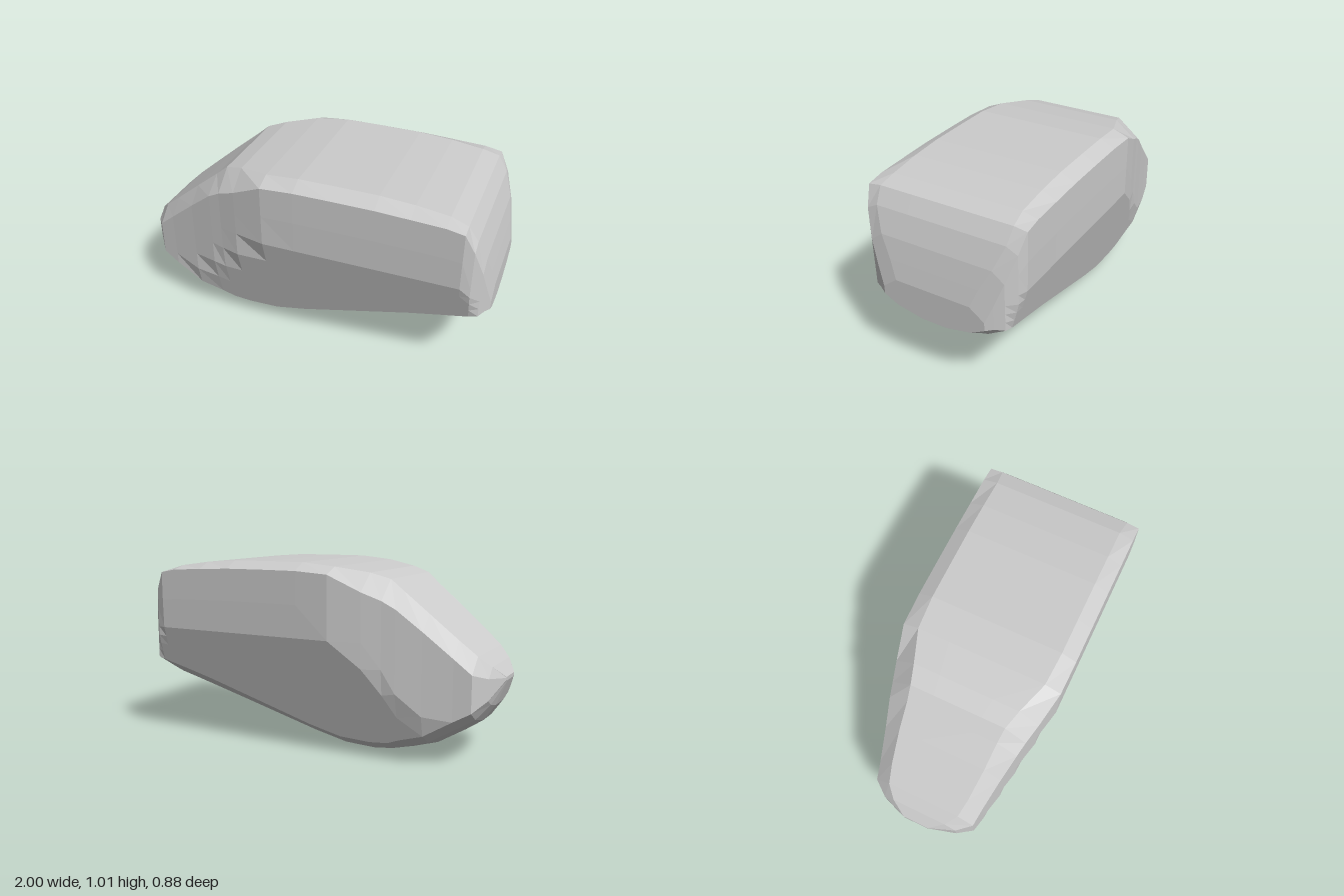
import * as THREE from 'three';

// Lengthwise stations: x, top y, bottom y, half width, flat top half width, shoulder drop, lower bevel height
const STATIONS = [
  [-1.0, 0.46, 0.44, 0.07, 0.07, 0.005, 0.005],
  [-0.95, 0.52, 0.31, 0.21, 0.15, 0.05, 0.05],
  [-0.89, 0.575, 0.225, 0.285, 0.2, 0.08, 0.08],
  [-0.8, 0.65, 0.165, 0.3, 0.22, 0.08, 0.09],
  [-0.65, 0.775, 0.075, 0.33, 0.24, 0.08, 0.09],
  [-0.52, 0.88, 0.035, 0.36, 0.25, 0.08, 0.09],
  [-0.45, 0.94, 0.018, 0.375, 0.26, 0.1, 0.08],
  [-0.35, 0.97, 0.004, 0.4, 0.29, 0.09, 0.085],
  [-0.18, 0.998, 0.012, 0.437, 0.35, 0.035, 0.085],
  [0.0, 1.015, 0.055, 0.44, 0.36, 0.04, 0.09],
  [0.2, 1.015, 0.112, 0.44, 0.36, 0.04, 0.1],
  [0.42, 1.013, 0.175, 0.44, 0.36, 0.04, 0.11],
  [0.6, 1.0, 0.225, 0.44, 0.36, 0.035, 0.12],
  [0.77, 0.977, 0.275, 0.44, 0.36, 0.02, 0.12],
  [0.86, 0.95, 0.3, 0.44, 0.37, 0.01, 0.12],
  [0.91, 0.87, 0.325, 0.42, 0.36, 0.03, 0.11],
  [0.955, 0.75, 0.345, 0.375, 0.31, 0.05, 0.1],
  [0.98, 0.64, 0.36, 0.33, 0.25, 0.06, 0.09],
  [1.0, 0.545, 0.37, 0.29, 0.21, 0.06, 0.07],
];

// Closed cross-section: rounded top edge, upright upper wall, lower wall leaning inward
function section([x, top, bottom, width, flat, drop, bevel]) {
  const wall = (y) => Math.min(width, 0.26 + 0.28 * y);
  const yHigh = top - drop;
  const yLow = bottom + bevel;
  const yMid = THREE.MathUtils.clamp(0.63, yLow + (yHigh - yLow) * 0.35, yLow + (yHigh - yLow) * 0.8);
  const half = [[flat * 0.5, top], [flat, top], [width, yHigh]];
  half[2][0] = wall(yHigh);
  half.push([wall((yHigh + yMid) / 2), (yHigh + yMid) / 2]);
  for (let k = 0; k <= 4; k++) {
    const y = THREE.MathUtils.lerp(yMid, yLow, k / 4);
    half.push([wall(y), y]);
  }
  half.push([wall(yLow) * 0.74, bottom + bevel * 0.42], [Math.min(0.07, width * 0.7), bottom]);
  const mirrored = half.map(([z, y]) => [-z, y]).reverse();
  return [...half, ...mirrored].map(([z, y]) => new THREE.Vector3(x, y, z));
}

// Skin the sections and close both ends
function loft(rings) {
  const n = rings[0].length;
  const pos = [];
  const tri = (...pts) => pts.forEach((p) => pos.push(p.x, p.y, p.z));
  const centre = (ring) => ring.reduce((s, p) => s.add(p), new THREE.Vector3()).divideScalar(n);
  const first = rings[0];
  const last = rings[rings.length - 1];
  const c0 = centre(first);
  const c1 = centre(last);
  for (let j = 0; j < n; j++) {
    const k = (j + 1) % n;
    for (let i = 0; i < rings.length - 1; i++) {
      const [a, b, c, d] = [rings[i][j], rings[i][k], rings[i + 1][k], rings[i + 1][j]];
      tri(a, b, c);
      tri(a, c, d);
    }
    tri(c0, first[k], first[j]);
    tri(c1, last[j], last[k]);
  }
  const geometry = new THREE.BufferGeometry();
  geometry.setAttribute('position', new THREE.Float32BufferAttribute(pos, 3));
  geometry.computeVertexNormals();
  return geometry;
}

export function createModel() {
  const group = new THREE.Group();
  group.name = 'facetedShell';
  const material = new THREE.MeshStandardMaterial({ color: 0xcccccc, flatShading: true });
  const body = new THREE.Mesh(loft(STATIONS.map(section)), material);
  body.name = 'body';
  group.add(body);
  return group;
}
